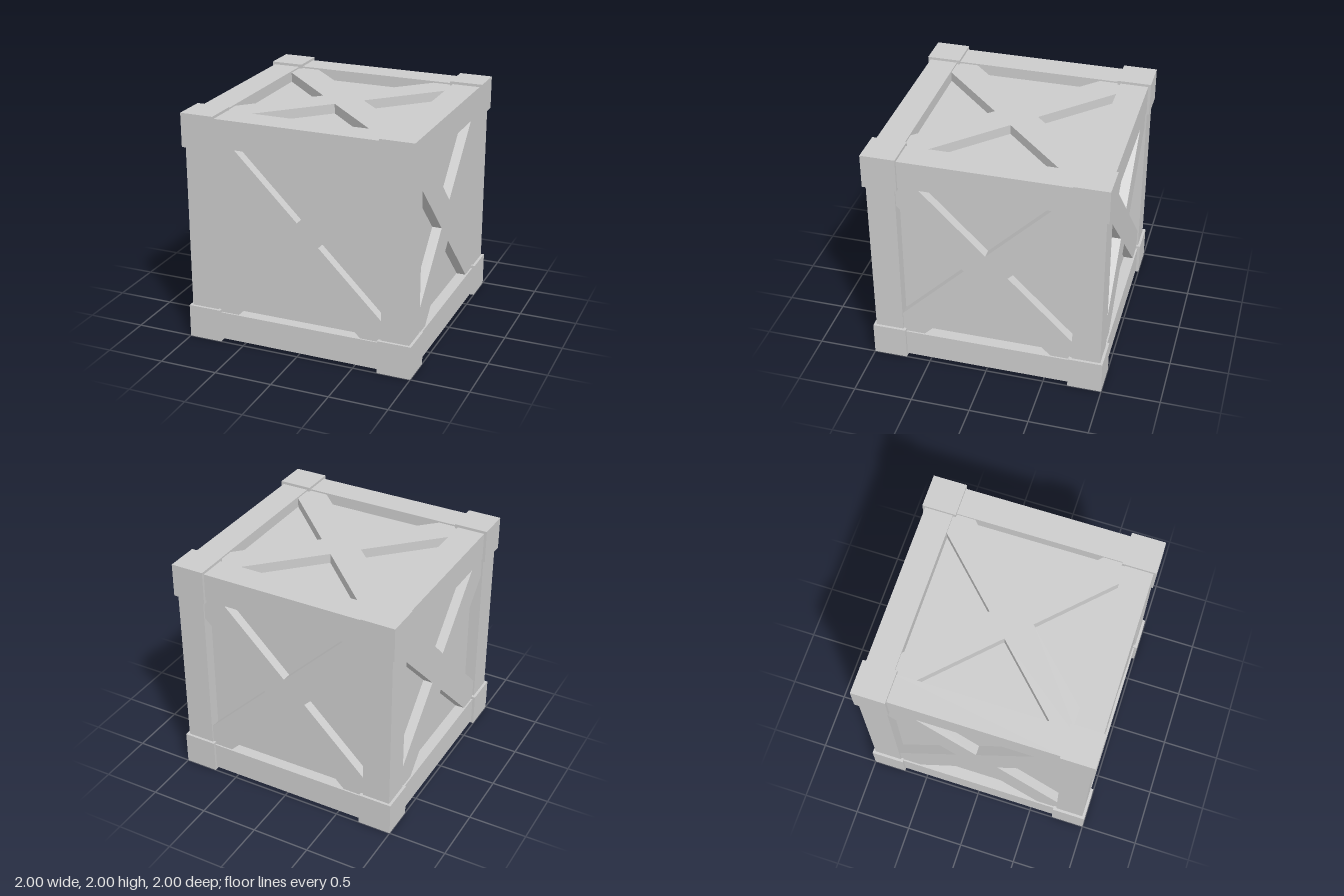
import * as THREE from 'three';

const HALF = 1;            // half of the overall size
const CORNER = 0.29;       // corner block size
const RAIL = 0.242;        // rail thickness
const RAIL_POS = 0.856;    // rail centre line
const PANEL = 0.88;        // half size of the recessed panels
const BRACE_FACE = 0.963;  // outer plane of the cross braces

const material = new THREE.MeshStandardMaterial({ color: 0xcccccc, flatShading: true });

function addMesh(parent, name, geometry) {
  const mesh = new THREE.Mesh(geometry, material);
  mesh.name = name;
  parent.add(mesh);
  return mesh;
}

// X-shaped outline: one V-notched arm, turned four times
function crossShape(reach, notch) {
  const points = [];
  for (let i = 0; i < 4; i++) {
    const turn = (i * Math.PI) / 2;
    for (const [x, y] of [[notch, 0], [reach, reach - notch], [reach, reach], [reach - notch, reach]]) {
      points.push(new THREE.Vector2(x, y).rotateAround(new THREE.Vector2(), turn));
    }
  }
  return new THREE.Shape(points);
}

export function createModel() {
  const crate = new THREE.Group();
  crate.name = 'crate';
  const body = new THREE.Group();
  body.name = 'crateBody';
  body.position.y = HALF;
  crate.add(body);

  // Recessed panels on all six sides
  addMesh(body, 'panels', new THREE.BoxGeometry(2 * PANEL, 2 * PANEL, 2 * PANEL));

  // Twelve edge rails, four along each axis
  const railLength = 2 * (HALF - CORNER) + 0.1;
  const signs = [-1, 1];
  for (let axis = 0; axis < 3; axis++) {
    const size = [RAIL, RAIL, RAIL];
    size[axis] = railLength;
    const geometry = new THREE.BoxGeometry(...size);
    for (const a of signs) for (const b of signs) {
      const rail = addMesh(body, axis === 1 ? 'post' : 'rail', geometry);
      rail.position.setComponent((axis + 1) % 3, a * RAIL_POS);
      rail.position.setComponent((axis + 2) % 3, b * RAIL_POS);
    }
  }

  // Eight corner blocks
  const cornerGeometry = new THREE.BoxGeometry(CORNER, CORNER, CORNER);
  const c = HALF - CORNER / 2;
  for (const x of signs) for (const y of signs) for (const z of signs) {
    addMesh(body, 'cornerBlock', cornerGeometry).position.set(x * c, y * c, z * c);
  }

  // One cross brace per side, its ends buried in the rails
  const braceGeometry = new THREE.ExtrudeGeometry(crossShape(0.8, 0.185), {
    depth: BRACE_FACE - PANEL + 0.02, bevelEnabled: false,
  });
  braceGeometry.translate(0, 0, PANEL - 0.02);
  const q = Math.PI / 2;
  for (const [rx, ry] of [[0, 0], [0, q], [0, 2 * q], [0, -q], [q, 0], [-q, 0]]) {
    addMesh(body, 'crossBrace', braceGeometry).rotation.set(rx, ry, 0);
  }

  return crate;
}
